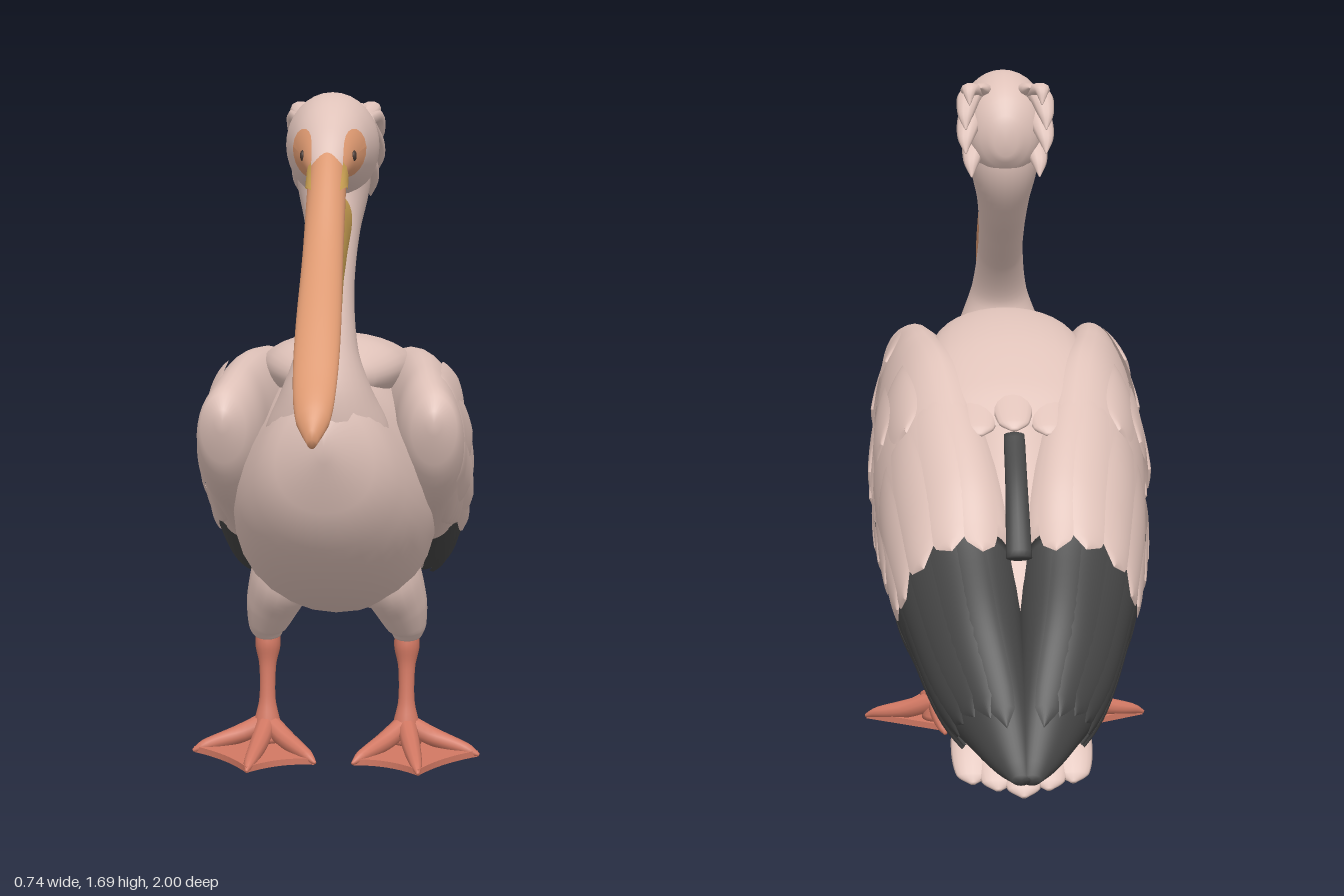
import * as THREE from 'three';

const mat = (name, color) => {
  const m = new THREE.MeshStandardMaterial({ color, side: THREE.DoubleSide });
  m.name = name;
  return m;
};

// Skin a list of rings (equal point counts) with closed ends
function skin(rings) {
  const n = rings[0].length, pos = [], idx = [];
  rings.forEach(r => r.forEach(p => pos.push(p.x, p.y, p.z)));
  for (let i = 0; i < rings.length - 1; i++) for (let j = 0; j < n; j++) {
    const k = (j + 1) % n, a = i * n + j, b = i * n + k, c = b + n, d = a + n;
    idx.push(a, b, c, a, c, d);
  }
  [0, rings.length - 1].forEach(e => {
    const c = new THREE.Vector3();
    rings[e].forEach(p => c.addScaledVector(p, 1 / n));
    const o = pos.length / 3;
    pos.push(c.x, c.y, c.z);
    for (let j = 0; j < n; j++) {
      const a = e * n + j, b = e * n + (j + 1) % n;
      e ? idx.push(o, a, b) : idx.push(o, b, a);
    }
  });
  return finish(pos, idx);
}

function finish(pos, idx) {
  const g = new THREE.BufferGeometry();
  g.setAttribute('position', new THREE.Float32BufferAttribute(pos, 3));
  g.setIndex(idx);
  g.computeVertexNormals();
  return g;
}

// Smooth interpolation of rows [z, cx, cy, rx, ry, lean, taper], sorted by z
function sample(rows, z) {
  const last = rows.length - 1;
  z = Math.min(Math.max(z, rows[0][0]), rows[last][0]);
  let i = 0;
  while (i < last - 1 && z > rows[i + 1][0]) i++;
  const slope = (k, c) => {
    const a = rows[Math.max(k - 1, 0)], b = rows[Math.min(k + 1, last)];
    return (b[c] - a[c]) / (b[0] - a[0]);
  };
  const h = rows[i + 1][0] - rows[i][0], t = (z - rows[i][0]) / h, u = 1 - t;
  return rows[i].map((p, c) => (1 + 2 * t) * u * u * p + t * u * u * h * slope(i, c)
    + t * t * (3 - 2 * t) * rows[i + 1][c] - t * t * u * h * slope(i + 1, c));
}

// Point on a hull: v = -1 lower edge, 0 outer side, 1 upper edge
function surface(rows, z, v, off = 0) {
  const [zz, cx, cy, rx, ry, lean, taper = 0] = sample(rows, z), a = v * Math.PI / 2;
  const c = Math.cos(a), s = Math.sin(a);
  return new THREE.Vector3(cx + (Math.max(rx, 0.002) * (1 - taper * s) + off) * c - lean * ry * s,
    cy + (Math.max(ry, 0.002) + off) * s, zz);
}

function hull(rows, z0 = rows[0][0], z1 = rows[rows.length - 1][0], n = 44, m = 32) {
  const rings = [];
  for (let i = 0; i <= n; i++) rings.push(Array.from({ length: m },
    (_, j) => surface(rows, z0 + (z1 - z0) * i / n, 4 * j / m)));
  return skin(rings);
}
// Rows given as [z, bottom, top, half width]; taper narrows the top and fills the bottom
const spans = (list, taper = 0) => list.map(([z, b, t, w]) => [z, 0, (b + t) / 2, w, (t - b) / 2, 0, taper]);

// Elliptical tube through rows [x, y, z, rx, ry]
function sweep(rows, n = 24, m = 16) {
  const curve = new THREE.CatmullRomCurve3(rows.map(r => new THREE.Vector3(r[0], r[1], r[2])));
  const X = new THREE.Vector3(1, 0, 0), rings = [];
  const rad = rows.map((r, i) => [i, r[3], r[4]]);
  for (let i = 0; i <= n; i++) {
    const t = i / n, p = curve.getPoint(t), d = curve.getTangent(t);
    const V = d.clone().cross(X).normalize(), U = V.clone().cross(d);
    const [, a, b] = sample(rad, t * (rows.length - 1));
    rings.push(Array.from({ length: m }, (_, j) => {
      const q = 2 * Math.PI * j / m;
      return p.clone().addScaledVector(U, Math.max(a, .001) * Math.cos(q))
        .addScaledVector(V, Math.max(b, .001) * Math.sin(q));
    }));
  }
  return skin(rings);
}

// Sheet lying on a hull; fn(s, e) returns [z, v, offset] for s in 0..1, e in -1..1
function patch(rows, fn, n = 14, m = 10) {
  const pos = [], idx = [];
  for (let i = 0; i <= n; i++) for (let j = 0; j <= m; j++) {
    pos.push(...surface(rows, ...fn(i / n, 2 * j / m - 1)).toArray());
    if (i < n && j < m) {
      const a = i * (m + 1) + j, d = a + m + 1;
      idx.push(a, d + 1, a + 1, a, d, d + 1);
    }
  }
  return finish(pos, idx);
}

// Round-tipped feather on a hull, its root sunk in and its tip raised
function feather(rows, z0, v0, z1, v1, w, lift) {
  return patch(rows, (s, e) => {
    const z = z0 + (z1 - z0) * s, v = v0 + (v1 - v0) * s, ry = sample(rows, z)[4];
    const dq = (v1 - v0) * ry * 1.3, L = Math.hypot(z1 - z0, dq);
    const k = e * w * (.6 + .4 * s) * Math.sqrt(Math.max(0, 1 - s ** 5));
    return [z + k * dq / L, v - k * (z1 - z0) / L / Math.max(ry * 1.3, .06),
      -.005 + (lift + .006) * Math.sqrt(s) - lift * .45 * e * e * s];
  }, 18);
}

const BODY = spans([[-.8, .26, .36, .05], [-.7, .26, .55, .15], [-.55, .28, .74, .2], [-.35, .305, .93, .235],
  [-.15, .335, 1.04, .25], [.05, .37, 1.04, .25], [.25, .445, 1.01, .235], [.4, .54, 1.01, .205],
  [.5, .645, 1.02, .16], [.555, .74, 1.0, .105], [.582, .85, .93, .02]], .2);
const HEAD = spans([[.02, 1.48, 1.56, .03], [.05, 1.44, 1.62, .075], [.1, 1.425, 1.665, .1], [.2, 1.435, 1.687, .112],
  [.3, 1.455, 1.665, .092], [.38, 1.475, 1.605, .06], [.43, 1.48, 1.55, .038], [.46, 1.475, 1.515, .02]]);
const BILL = spans([[.36, 1.47, 1.59, .04], [.42, 1.435, 1.56, .044], [.6, 1.29, 1.375, .046],
  [.785, 1.145, 1.215, .05], [.9, 1.055, 1.11, .047], [.97, .985, 1.045, .036], [1, .96, 1.0, .012]]);
const POUCH = spans([[.24, 1.4, 1.44, .02], [.29, 1.345, 1.455, .05], [.41, 1.24, 1.465, .048], [.5, 1.175, 1.41, .043],
  [.6, 1.118, 1.32, .043], [.7, 1.085, 1.24, .043], [.8, 1.05, 1.16, .042], [.9, 1.012, 1.08, .036], [.98, .98, 1.01, .015]]);
const WING = [[-1, .012, .225, .02, .012, 0], [-.96, .03, .26, .045, .045, .05], [-.9, .055, .315, .07, .085, .08],
  [-.8, .093, .395, .1, .135, .1], [-.65, .126, .505, .128, .17, .12], [-.55, .14, .565, .142, .22, .12],
  [-.4, .163, .645, .148, .255, .1], [-.2, .193, .725, .14, .29, .08], [0, .22, .8, .112, .24, .06],
  [.2, .236, .845, .086, .185, .06], [.32, .243, .87, .078, .14, .05], [.39, .25, .9, .055, .085, 0],
  [.415, .25, .92, .02, .03, 0]];

export function createModel() {
  const root = new THREE.Group();
  const pink = mat('pale pink plumage', 0xdfc2b9), dark = mat('charcoal flight feathers', 0x444444),
    orange = mat('orange bill', 0xdc9870), yellow = mat('yellow pouch', 0xcda354),
    coral = mat('coral legs', 0xd17863), eyeMat = mat('dark eye', 0x4a3a34);
  const add = (parent, name, geo, m) => {
    const mesh = new THREE.Mesh(geo, m);
    mesh.name = name;
    parent.add(mesh);
    return mesh;
  };

  // Body, neck and head
  add(root, 'body', hull(BODY), pink);
  add(root, 'neck', sweep([[0, .78, .36, .15, .08], [0, .9, .43, .148, .125], [0, 1.0, .452, .108, .12],
    [0, 1.09, .435, .074, .093], [0, 1.2, .36, .06, .08], [0, 1.29, .265, .06, .08], [0, 1.37, .185, .068, .088],
    [0, 1.46, .14, .088, .1], [0, 1.54, .15, .088, .09]], 48, 28), pink);
  add(root, 'head', hull(HEAD), pink);

  // Bill
  add(root, 'upperBill', hull(BILL), orange);
  add(root, 'pouch', hull(POUCH), yellow);

  // Mantle with a scalloped rear edge and the dark notch behind it
  add(root, 'mantle', hull(spans([[-.4, .82, .89, .13], [-.3, .84, .975, .19], [-.13, .88, 1.06, .205],
    [.08, .92, 1.09, .175], [.2, .94, 1.06, .11], [.25, .97, 1.03, .04]])), pink);
  for (let i = -2; i <= 2; i++) {
    const x = i * .075, drop = .012 * i * i;
    add(root, 'mantleFeather', sweep([[x * .8, 1.055 - drop, -.05, .03, .008], [x, 1.002 - drop, -.2, .05, .018],
      [x * 1.08, .93 - drop, -.33, .052, .018], [x * 1.1, .89 - drop, -.41, .036, .012],
      [x * 1.1, .878 - drop, -.43, .008, .004]]), pink);
  }
  add(root, 'notchFeather', sweep([[0, .865, -.42, .025, .012], [0, .765, -.54, .026, .016], [0, .63, -.66, .03, .014]]), dark);

  // Tail fan
  for (let i = -2; i <= 2; i++) {
    const a = Math.abs(i);
    add(root, 'tailFeather', sweep([[i * .03, .33, -.52, .05, .035], [i * .05, .275, -.7, .052, .034],
      [i * .055, .2 + a * .008, -.82 + a * .012, .05, .022], [i * .056, .158 + a * .01, -.88 + a * .018, .036, .012],
      [i * .056, .145 + a * .01, -.895 + a * .018, .006, .004]]), pink);
  }

  // Paired parts, built on the left and mirrored
  for (const side of [1, -1]) {
    const half = new THREE.Group();
    half.name = side > 0 ? 'leftSide' : 'rightSide';
    half.scale.x = side;
    root.add(half);

    // Folded wing: pale base, charcoal tip and lower panel
    add(half, 'wing', hull(WING, -.63, .415), pink);
    add(half, 'wingTip', hull(WING, -1, -.63, 24), dark);
    add(half, 'flightPanel', patch(WING, (s, e) => {
      const top = -.64 + .36 * Math.min(1, 3 * s) + .17 * s;
      return [-.01 - .64 * s, -1 + (top + 1) * (e + 1) / 2, .004];
    }, 24), dark);
    for (let i = 0; i < 6; i++) {
      add(half, 'flightFeather', feather(WING, -.02 - .1 * i, -.58 + .06 * i, -.26 - .12 * i, -.86 + .05 * i, .05, .015), dark);
      add(half, 'primaryFeather', feather(WING, -.5, -.5 + .3 * i, -.86 - .018 * i, -.6 + .3 * i, .05, .008), dark);
    }
    // Pale coverts: [count, root z, root v, tip z, tip v, step z, step v, width, lift]
    const rows = [
      [5, .08, -.45, -.18, -.36, -.11, .07, .06, .014],
      [4, -.3, .1, -.65, .1, -.01, .33, .07, .012],
      [4, .12, -.3, -.13, -.24, -.08, .26, .075, .016],
      [4, .26, -.55, .1, -.75, -.04, .06, .05, .01],
      [3, .32, -.25, .06, -.3, -.03, .38, .075, .015],
    ];
    for (const [n, z0, v0, z1, v1, dz, dv, w, lift] of rows) for (let i = 0; i < n; i++)
      add(half, 'covertFeather', feather(WING, z0 + dz * i, v0 + dv * i, z1 + dz * i, v1 + dv * i, w, lift), pink);

    // Bare face, eye and yellow cheek mark
    add(half, 'facePatch', patch(HEAD, (s, e) => [.383 + .056 * s * Math.cos(e * Math.PI),
      .05 + .5 * s * Math.sin(e * Math.PI), .004], 8, 24), orange);
    const eye = add(half, 'eye', new THREE.SphereGeometry(.013, 16, 12), eyeMat);
    eye.position.copy(surface(HEAD, .383, .05, .001));
    eye.scale.x = .5;
    add(half, 'cheekMark', patch(BILL, (s, e) => [.425 + .075 * s, .1 + .35 * e * (1 - s) + .45 * s, .005], 6, 4), yellow);

    // Crest plumes drooping from the nape
    [[.06, 1.65, .045], [.09, 1.61, .012], [.1, 1.55, .0], [.1, 1.49, .004], [.085, 1.43, .025]]
      .forEach(([x, y, z]) => add(half, 'crestPlume', sweep([[x * .7, Math.min(1.62, y + .13), .15, .028, .02],
        [x * .9, Math.min(1.638, y + .075), z + .065, .03, .02], [x, Math.min(1.645, y + .035), z + .025, .02, .014],
        [x, y, z, .002, .002]], 18, 10), pink));

    // Thigh and leg
    add(half, 'thigh', sweep([[.12, .56, .05, .07, .1], [.14, .46, .03, .08, .11], [.166, .38, .006, .068, .08],
      [.18, .32, -.01, .05, .052], [.18, .295, -.015, .036, .036]]), pink);
    add(half, 'leg', sweep([[.18, .33, -.015, .026, .026], [.18, .27, -.014, .033, .036], [.18, .215, -.004, .022, .022],
      [.18, .13, .01, .021, .02], [.18, .07, .018, .034, .03], [.18, .02, .02, .04, .04]]), coral);

    // Webbed foot with concave edges
    const web = new THREE.Shape();
    web.moveTo(.16, .04);
    web.lineTo(.365, -.07);
    web.quadraticCurveTo(.27, -.13, .215, -.235);
    web.quadraticCurveTo(.14, -.15, .05, -.16);
    web.lineTo(.16, .04);
    const webGeo = new THREE.ExtrudeGeometry(web, { depth: .016, bevelEnabled: false });
    webGeo.rotateX(-Math.PI / 2);
    add(half, 'web', webGeo, coral);
    for (const [x, z] of [[.368, .075], [.215, .24], [.047, .165], [.16, -.08]])
      add(half, 'toe', sweep([[.18, .07, .01, .026, .026], [.18 + (x - .18) * .4, .038, .01 + (z - .01) * .4, .024, .024],
        [.18 + (x - .18) * .85, .017, .01 + (z - .01) * .85, .015, .014], [x, .006, z, .004, .004]], 14, 10), coral);
  }
  return root;
}
